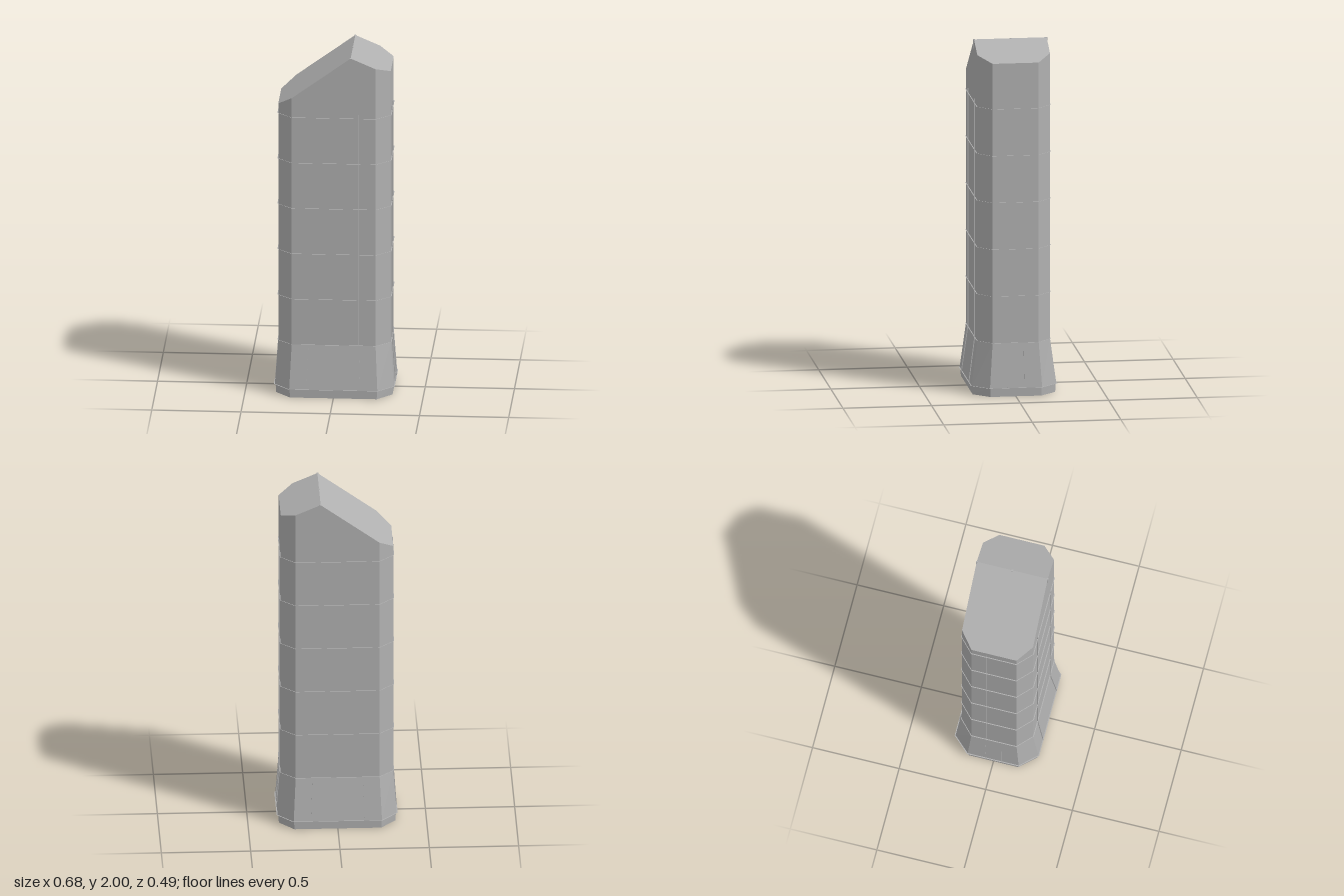
import * as THREE from 'three';

const RIDGE_X = 0.095;
const roofY = (x) => 2 - (x < RIDGE_X ? (RIDGE_X - x) * 0.73 : (x - RIDGE_X) * 0.43);

// Chamfered rectangle, from +x round through +z, with a point under each ridge end.
// y is a height or a function of x.
function section(rx, rz, cx, cz, y) {
  const h = typeof y === 'function' ? y : () => y;
  return [
    [rx, -cz], [rx, cz], [cx, rz], [RIDGE_X, rz], [-cx, rz],
    [-rx, cz], [-rx, -cz], [-cx, -rz], [RIDGE_X, -rz], [cx, -rz],
  ].map(([x, z]) => new THREE.Vector3(x, h(x), z));
}

const shaft = (y, out = 0) => section(0.315 + out, 0.205 + out, 0.235, 0.13, y);

function facets(points) {
  const g = new THREE.BufferGeometry().setFromPoints(points);
  g.computeVertexNormals();
  return g;
}

// Flat-sided wall through a list of sections
function loft(sections) {
  const pts = [];
  for (let s = 0; s < sections.length - 1; s++) {
    const lo = sections[s], hi = sections[s + 1];
    for (let i = 0; i < lo.length; i++) {
      const j = (i + 1) % lo.length;
      pts.push(lo[i], hi[i], lo[j], lo[j], hi[i], hi[j]);
    }
  }
  return facets(pts);
}

function fan(poly) {
  const pts = [];
  for (let i = 1; i < poly.length - 1; i++) pts.push(poly[0], poly[i + 1], poly[i]);
  return facets(pts);
}

export function createModel() {
  const group = new THREE.Group();
  const stone = new THREE.MeshStandardMaterial({ color: 0xb0b0b0, side: THREE.DoubleSide });
  stone.name = 'grey cladding';
  const add = (name, geometry) => {
    const mesh = new THREE.Mesh(geometry, stone);
    mesh.name = name;
    group.add(mesh);
    return mesh;
  };

  // Open plinth, flared foot and shaft
  const FLARE_TOP = 0.305;
  const footBase = section(0.333, 0.239, 0.247, 0.147, 0.05);
  add('plinth', loft([
    section(0.326, 0.233, 0.243, 0.143, 0),
    section(0.329, 0.235, 0.245, 0.145, 0.05),
  ]));
  add('flaredFoot', loft([footBase, shaft(FLARE_TOP)]));
  const top = shaft(roofY);
  add('shaft', loft([shaft(FLARE_TOP), top]));

  // Two roof slopes meeting at an off-centre ridge
  add('shortRoofSlope', fan([top[8], top[9], top[0], top[1], top[2], top[3]]));
  add('longRoofSlope', fan(top.slice(3, 9)));

  // Flat lip where the foot meets the plinth
  add('footLip', loft([
    section(0.339, 0.244, 0.25, 0.15, 0.05),
    section(0.326, 0.233, 0.243, 0.143, 0.05),
  ]));

  // Thin horizontal seams
  for (let i = 0; i < 6; i++) {
    const y = FLARE_TOP + i * 0.268;
    add('horizontalSeam', loft([shaft(y, 0.005), shaft(y)]));
  }

  // Thin upright seams, two on each broad face and each end
  const SEAM_TOP = 1.67, OUT = 0.005;
  const seam = (map) => {
    // along the face, distance out, height
    const rows = [[1.07, 1, 0.05], [1, 0, FLARE_TOP], [1, 0, SEAM_TOP]];
    const pts = [];
    for (let i = 0; i < 2; i++) {
      const a = map(rows[i], 0), b = map(rows[i], OUT);
      const c = map(rows[i + 1], OUT), d = map(rows[i + 1], 0);
      pts.push(a, b, c, a, c, d);
    }
    add('uprightSeam', facets(pts));
  };
  for (const side of [1, -1]) {
    for (const s of [1, -1]) {
      seam(([k, f, y], o) => new THREE.Vector3(s * 0.141 * k, y, side * (0.205 + f * 0.034 + o)));
      seam(([k, f, y], o) => new THREE.Vector3(side * (0.315 + f * 0.018 + o), y, s * 0.044 * k));
    }
  }

  // Small pegs at the ridge ends and ridge middle
  for (const z of [-0.204, 0, 0.204]) {
    add('ridgePeg', new THREE.BoxGeometry(0.01, 0.05, 0.01)).position.set(RIDGE_X, 1.975, z);
  }
  return group;
}
